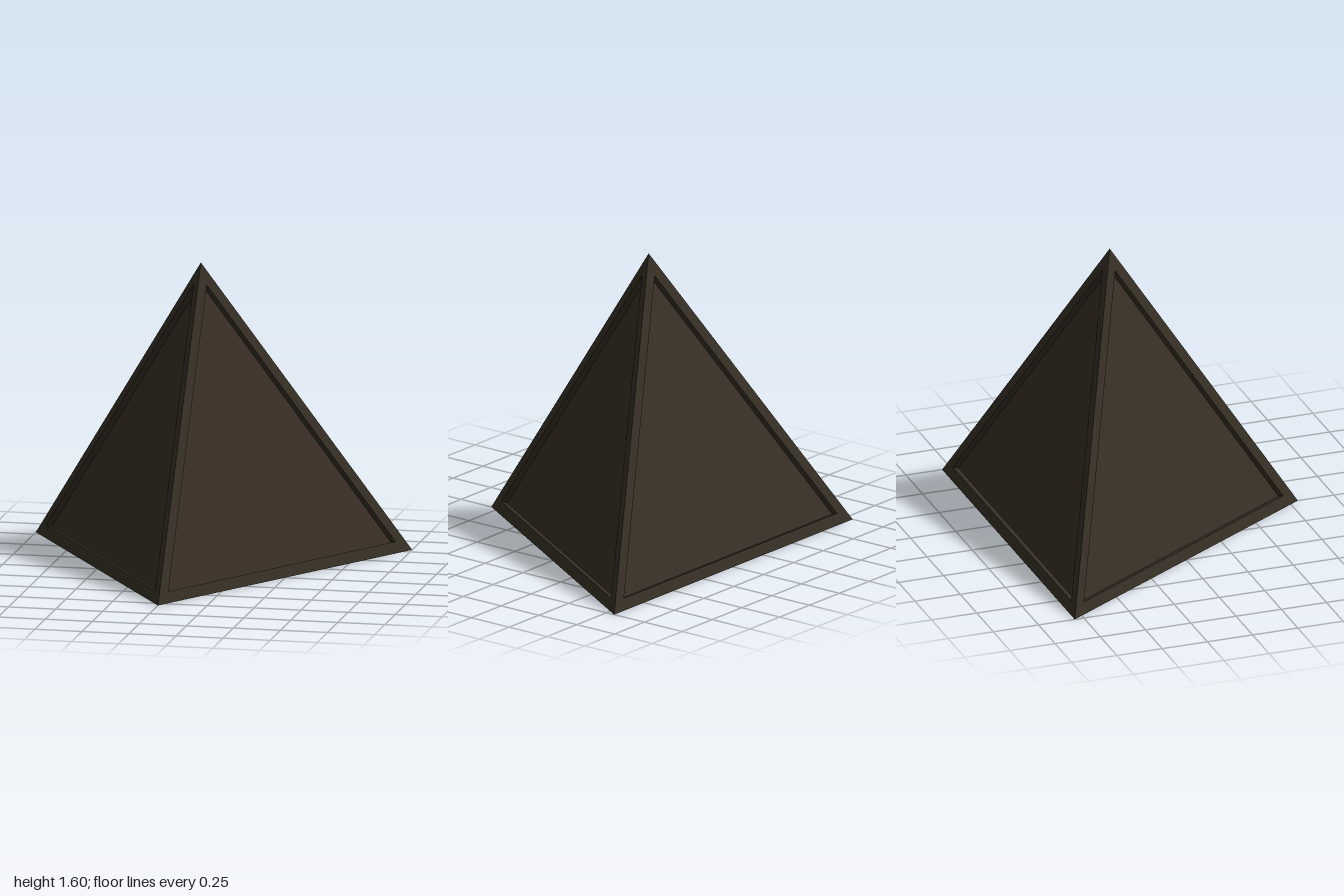
import * as THREE from 'three';

const rimMaterial = new THREE.MeshStandardMaterial({ color: 0x352e24 });
const panelMaterial = new THREE.MeshStandardMaterial({ color: 0x382e25 });
rimMaterial.name = 'dark brown rim';
panelMaterial.name = 'dark brown panel';

const INSET = 0.893; // size of the panel relative to its face
const DEPTH = 0.033; // how far the panel is sunk

// Flat-shaded mesh from a list of corner points, three per triangle
function facetMesh(points, material, name) {
  const geometry = new THREE.BufferGeometry().setFromPoints(points);
  geometry.computeVertexNormals();
  const mesh = new THREE.Mesh(geometry, material);
  mesh.name = name;
  return mesh;
}

const quad = (a, b, c, d) => [a, b, c, a, c, d];

// One triangular side: flat border, recess walls and sunken panel
function createSide(corners, name) {
  const side = new THREE.Group();
  side.name = name;
  const triangle = new THREE.Triangle(...corners);
  const centre = triangle.getMidpoint(new THREE.Vector3());
  const normal = triangle.getNormal(new THREE.Vector3());
  const inner = corners.map((p) => centre.clone().lerp(p, INSET));
  const floor = inner.map((p) => p.clone().addScaledVector(normal, -DEPTH));

  const border = [];
  const walls = [];
  for (let i = 0; i < 3; i++) {
    const j = (i + 1) % 3;
    border.push(...quad(corners[i], corners[j], inner[j], inner[i]));
    walls.push(...quad(inner[i], inner[j], floor[j], floor[i]));
  }
  side.add(
    facetMesh(border, rimMaterial, name + 'Border'),
    facetMesh(walls, rimMaterial, name + 'RecessWalls'),
    facetMesh(floor, panelMaterial, name + 'Panel')
  );
  return side;
}

export function createModel() {
  const model = new THREE.Group();
  model.name = 'panelledTetrahedron';
  const apex = new THREE.Vector3(0, 1.6, -0.24);
  const backRight = new THREE.Vector3(-1, 0, -0.8);
  const backLeft = new THREE.Vector3(1, 0, -0.8);
  const front = new THREE.Vector3(0, 0, 0.8);

  model.add(
    createSide([front, backLeft, apex], 'leftSide'),
    createSide([backRight, front, apex], 'rightSide'),
    createSide([backLeft, backRight, apex], 'backSide'),
    createSide([front, backRight, backLeft], 'base')
  );
  return model;
}
